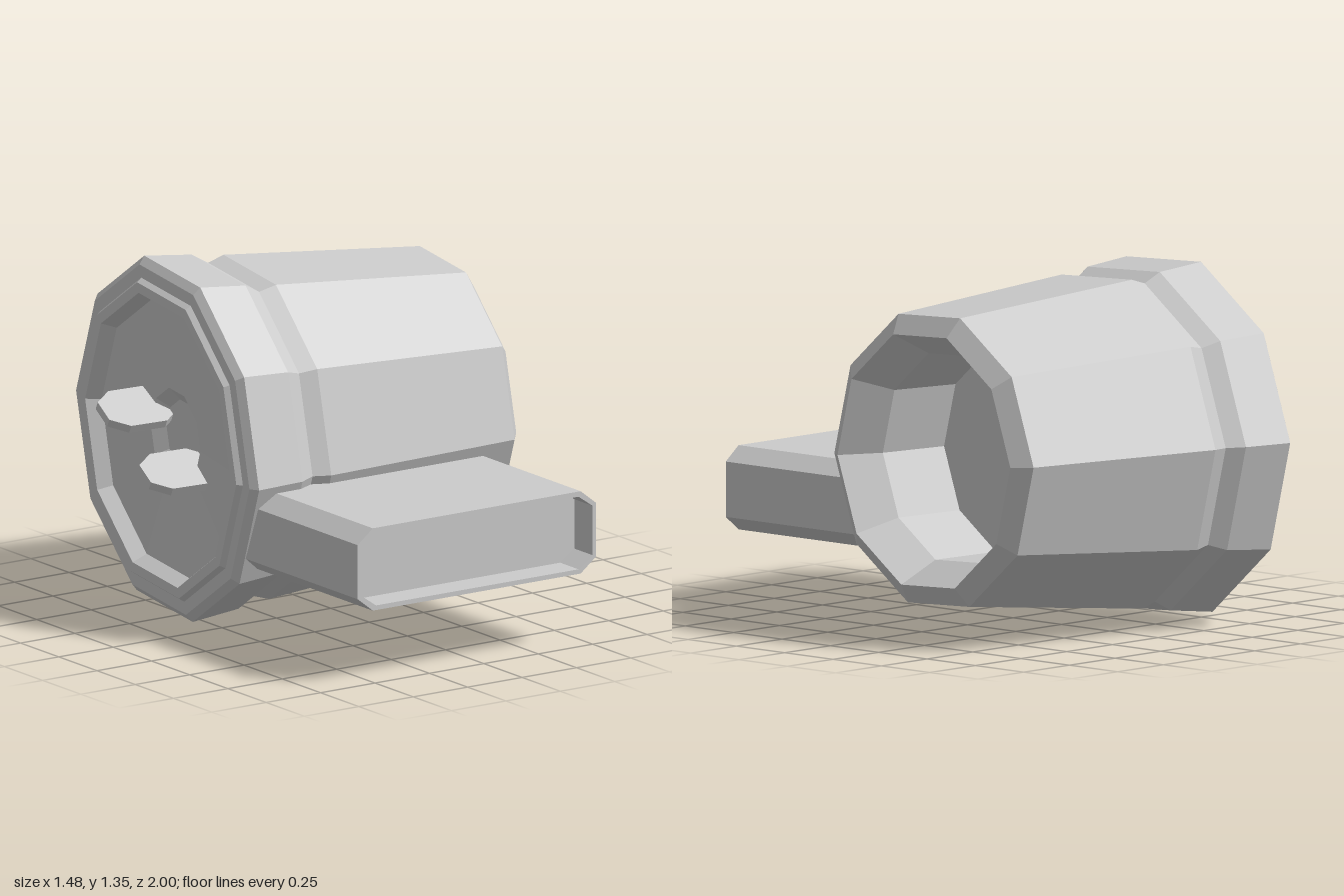
import * as THREE from 'three';

const mat = new THREE.MeshStandardMaterial({ color: 0xcccccc, flatShading: true });

function part(name, geometry) {
  const mesh = new THREE.Mesh(geometry, mat);
  mesh.name = name;
  return mesh;
}

// Rectangle with cut corners, as a list of points
function cutRect(x0, x1, y0, y1, cx, cy) {
  return [
    [x0 + cx, y0], [x1 - cx, y0], [x1, y0 + cy], [x1, y1 - cy],
    [x1 - cx, y1], [x0 + cx, y1], [x0, y1 - cy], [x0, y0 + cy],
  ].map(([x, y]) => new THREE.Vector2(x, y));
}

export function createModel() {
  const model = new THREE.Group();

  // Tilted barrel: local y runs along its axis, local z through a corner
  const barrel = new THREE.Group();
  barrel.name = 'barrel';
  const axis = new THREE.Vector3(0.995, 0.01, 0.1).normalize();
  const side = new THREE.Vector3().crossVectors(axis, new THREE.Vector3(-0.1, -0.061, 0.993)).normalize();
  const corner = new THREE.Vector3().crossVectors(side, axis);
  barrel.quaternion.setFromRotationMatrix(new THREE.Matrix4().makeBasis(side, axis, corner));
  barrel.position.set(-0.53, 0.68, -0.307);
  model.add(barrel);

  // Ten-sided shell: dished end, flange, neck, tapering body, lip and socket
  const profile = [
    [0, 0.07], [0.14, 0.07], [0.19, 0.03], [0.53, 0.01], [0.56, -0.045], [0.6, -0.045],
    [0.615, -0.025], [0.665, -0.025], [0.695, 0], [0.672, 0.2], [0.632, 0.266], [0.653, 0.335],
    [0.573, 1.17], [0.497, 1.22], [0.41, 1.07], [0.405, 0.77], [0, 0.77],
  ].map(([r, t]) => new THREE.Vector2(r, t));
  barrel.add(part('shell', new THREE.LatheGeometry(profile, 10)));

  // Pair of flat prongs with cut tips
  const prongs = new THREE.Group();
  prongs.name = 'prongs';
  prongs.rotation.y = THREE.MathUtils.degToRad(25);
  for (const s of [-1, 1]) {
    const shape = new THREE.Shape(cutRect(-0.1, 0.1, -0.195, 0.1, 0.05, 0.07));
    const geo = new THREE.ExtrudeGeometry(shape, { depth: 0.034, bevelEnabled: false });
    geo.translate(0, 0, -0.017).rotateY(-Math.PI / 2).translate(0, 0, s * 0.18);
    prongs.add(part('prong', geo));
  }
  barrel.add(prongs);

  // Flat spout at the front with a shallow recess in its end
  const outline = () => new THREE.Shape(cutRect(-0.58, 0.515, 0.29, 0.61, 0.07, 0.055));
  const depth = 0.12;
  const core = new THREE.ExtrudeGeometry(outline(), { depth: 0.8 - depth, bevelEnabled: false });
  core.translate(0, 0, 0.2);
  model.add(part('spout', core));
  const rim = outline();
  rim.holes.push(new THREE.Path(cutRect(-0.56, 0.5, 0.308, 0.59, 0.065, 0.045)));
  const rimGeo = new THREE.ExtrudeGeometry(rim, { depth, bevelEnabled: false });
  rimGeo.translate(0, 0, 1 - depth);
  model.add(part('spoutRim', rimGeo));

  return model;
}
